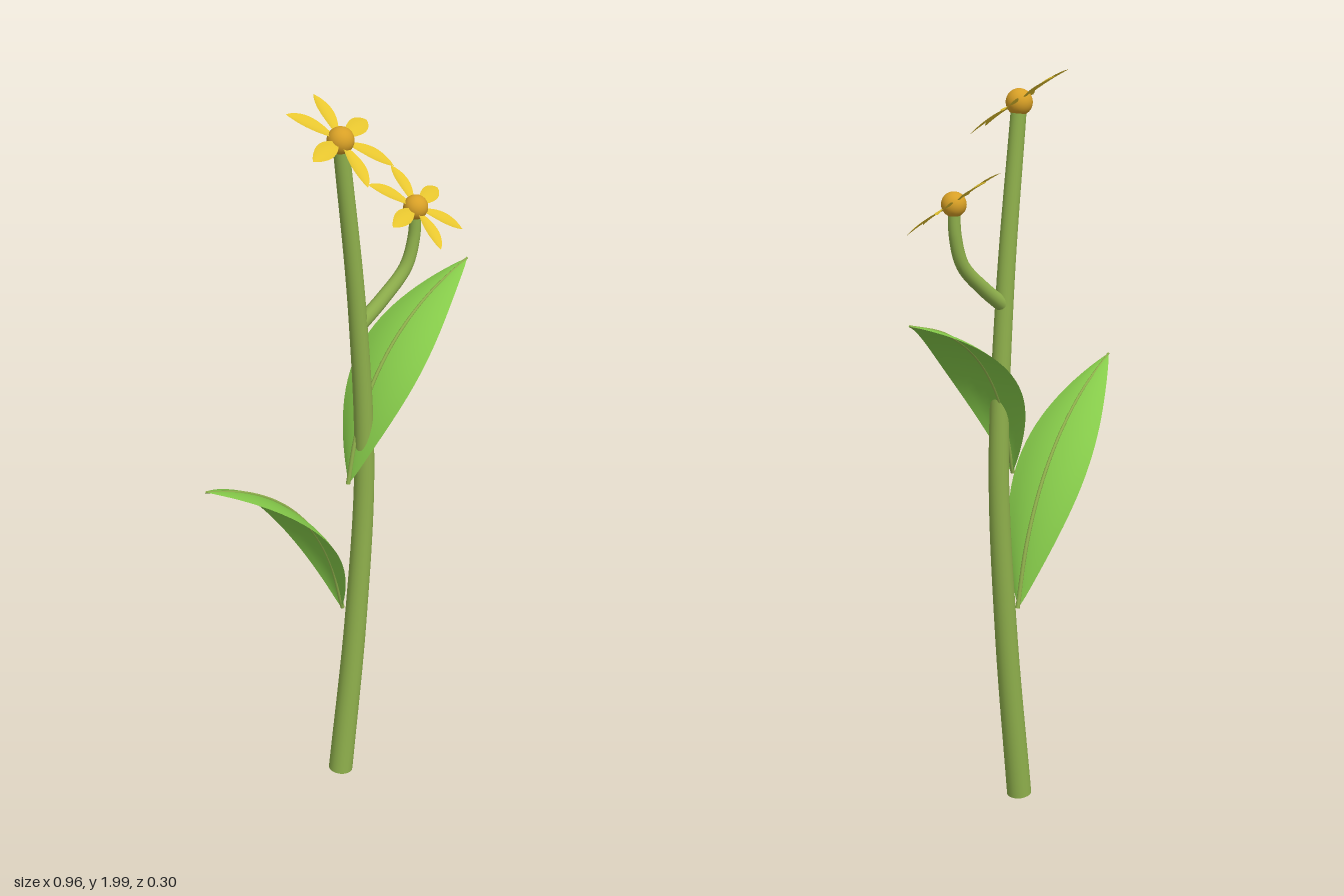
import * as THREE from 'three';

const V = (x, y, z = 0) => new THREE.Vector3(x, y, z);
const paint = (name, color, side = THREE.FrontSide) => {
  const m = new THREE.MeshStandardMaterial({ color, side });
  m.name = name;
  return m;
};

function part(name, geometry, material) {
  const mesh = new THREE.Mesh(geometry, material);
  mesh.name = name;
  return mesh;
}

// Round stalk along a curve, narrowing from r0 to r1
function taperedTube(curve, r0, r1, segments, sides) {
  const g = new THREE.TubeGeometry(curve, segments, 1, sides);
  const p = g.attributes.position, uv = g.attributes.uv, v = V(0, 0);
  for (let i = 0; i < p.count; i++) {
    const u = uv.getX(i), c = curve.getPointAt(u);
    v.fromBufferAttribute(p, i).sub(c).multiplyScalar(r0 + (r1 - r0) * u).add(c);
    p.setXYZ(i, v.x, v.y, v.z);
  }
  return g;
}

// Disc closing the start of a stalk
function startCap(curve, radius, material) {
  const cap = part('stalkEnd', new THREE.CircleGeometry(radius, 20), material);
  cap.position.copy(curve.getPoint(0));
  cap.quaternion.setFromUnitVectors(V(0, 0, 1), curve.getTangent(0).negate());
  return cap;
}

// Upper-side normal of a sheet at t
function upperNormal(curve, side, t) {
  const n = curve.getTangent(t).cross(side).normalize();
  return n.y < 0 ? n.negate() : n;
}

// Leaf-shaped sheet: cross-sections along a curve, edges bent by `lift`
function blade(curve, side, halfWidth, lift, rows = 28, cols = 8) {
  const pos = [], idx = [];
  for (let i = 0; i <= rows; i++) {
    const t = i / rows, c = curve.getPoint(t), w = halfWidth(t);
    const n = upperNormal(curve, side, t);
    for (let j = 0; j <= cols; j++) {
      const s = (j / cols) * 2 - 1;
      const p = c.clone().addScaledVector(side, s * w).addScaledVector(n, lift * s * s * w);
      pos.push(p.x, p.y, p.z);
      if (i < rows && j < cols) {
        const a = i * (cols + 1) + j, b = a + cols + 1;
        idx.push(a, a + 1, b, b, a + 1, b + 1);
      }
    }
  }
  const g = new THREE.BufferGeometry();
  g.setAttribute('position', new THREE.Float32BufferAttribute(pos, 3));
  g.setIndex(idx);
  g.computeVertexNormals();
  return g;
}

export function createModel() {
  const green = paint('stem green', 0x8fb04c);
  const leafGreen = paint('leaf green', 0x86cb4a, THREE.DoubleSide);
  const yellow = paint('petal yellow', 0xecca30, THREE.DoubleSide);
  const amber = paint('flower centre amber', 0xd8a026);

  const model = new THREE.Group();
  model.name = 'floweringPlant';

  // Main stem, gently bowed
  const stem = new THREE.CatmullRomCurve3([
    V(0, 0.005), V(0.05, 0.5), V(0.076, 0.98), V(0.051, 1.45), V(0, 1.915)]);
  model.add(part('stem', taperedTube(stem, 0.034, 0.02, 48, 20), green));
  model.add(startCap(stem, 0.034, green));

  // Side branch carrying the second flower
  const branch = new THREE.CatmullRomCurve3([
    V(0.046, 1.4), V(0.13, 1.465), V(0.2, 1.535), V(0.224, 1.61), V(0.228, 1.69)]);
  model.add(part('branch', taperedTube(branch, 0.02, 0.015, 32, 16), green));
  model.add(startCap(branch, 0.02, green));

  // Two arching leaves with drooping edges, each with a midrib on its upper face
  const leafWidth = t => 0.107 * Math.pow(Math.max(0, Math.sin(Math.PI * t)), 0.88);
  const leafSide = V(0.24, 0, 0.97).normalize();
  const leaves = {
    rightLeaf: [V(0.003, 0.56), V(-0.075, 1.0, 0.02), V(-0.48, 1.155, 0.12)],
    leftLeaf: [V(0.027, 0.95), V(0.08, 1.35, -0.015), V(0.48, 1.45, -0.105)],
  };
  for (const [name, points] of Object.entries(leaves)) {
    const curve = new THREE.QuadraticBezierCurve3(...points);
    const ribPoints = [0, 0.2, 0.4, 0.6, 0.8, 1].map(t =>
      curve.getPoint(t).addScaledVector(upperNormal(curve, leafSide, t), 0.004 * (1 - t)));
    const rib = new THREE.CatmullRomCurve3(ribPoints);
    const leaf = new THREE.Group();
    leaf.name = name;
    leaf.add(part('leafBlade', blade(curve, leafSide, leafWidth, -0.22), leafGreen));
    leaf.add(part('midrib', taperedTube(rib, 0.006, 0.003, 28, 8), green));
    model.add(leaf);
  }

  // Flowers: six pointed petals around a ball, tilted forward and to the side
  const normal = V(0.346, 1, 0.6).normalize();
  const first = V(0.01, 0.075, -0.13);
  first.addScaledVector(normal, -first.dot(normal)).normalize();
  const tilt = new THREE.Matrix4().makeBasis(first, normal, first.clone().cross(normal));

  const petalCurve = new THREE.QuadraticBezierCurve3(V(0.015, 0), V(0.08, 0.006), V(0.151, 0));
  const petalWidth = t => 0.004 * (1 - t) + 0.022 * Math.pow(Math.max(0, Math.sin(Math.PI * Math.pow(t, 1.25))), 0.8);
  const petalShape = blade(petalCurve, V(0, 0, 1), petalWidth, 0.2, 14, 6);

  const flowers = [['topFlower', V(0, 1.918), 1], ['sideFlower', V(0.228, 1.692), 0.93]];
  for (const [name, position, size] of flowers) {
    const flower = new THREE.Group();
    flower.name = name;
    flower.add(part('flowerCentre', new THREE.SphereGeometry(0.034, 24, 16), amber));
    for (let i = 0; i < 6; i++) {
      const petal = part('petal', petalShape, yellow);
      petal.rotation.y = (i * Math.PI) / 3;
      flower.add(petal);
    }
    flower.quaternion.setFromRotationMatrix(tilt);
    flower.position.copy(position);
    flower.scale.setScalar(size);
    model.add(flower);
  }
  return model;
}
